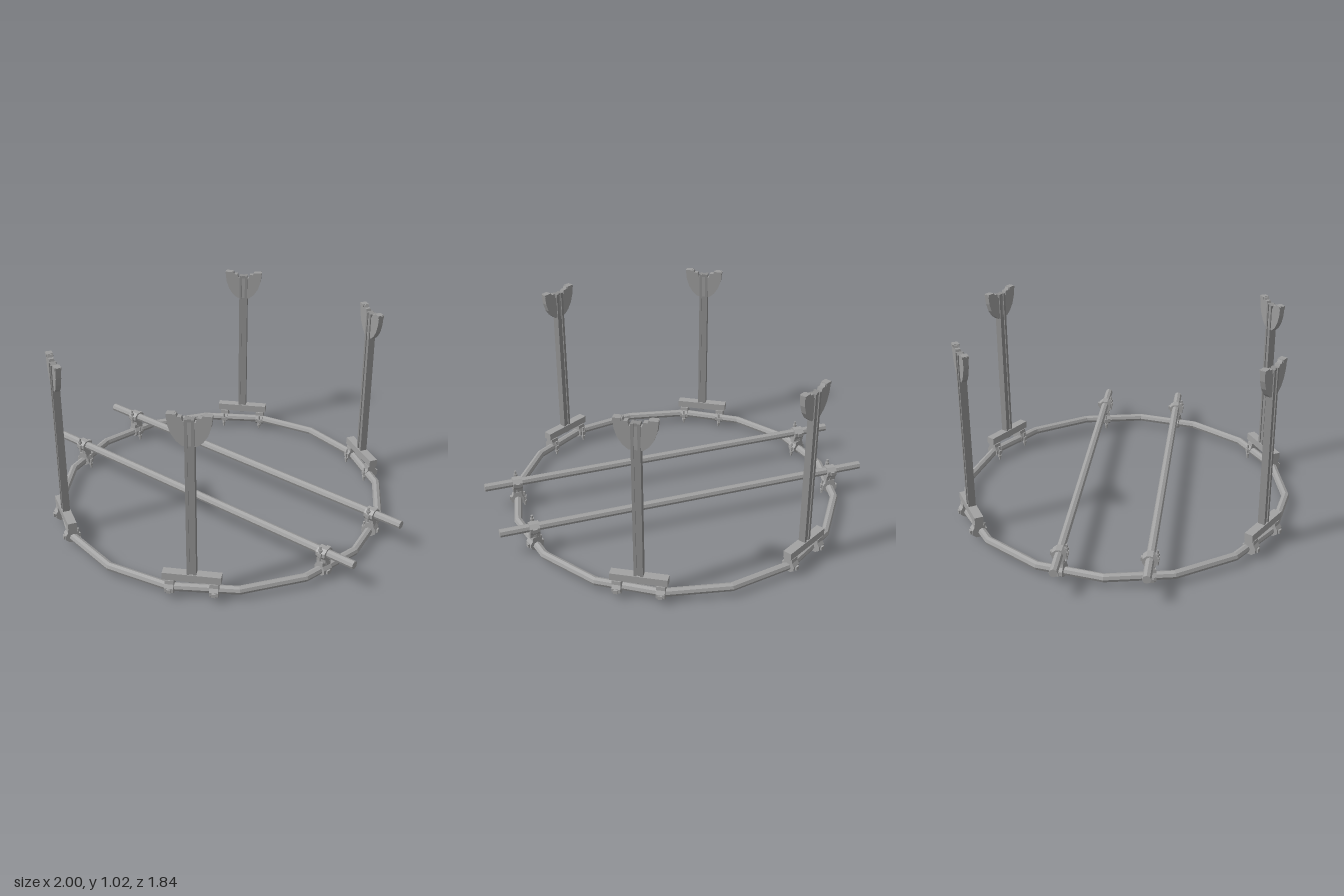
import * as THREE from 'three';

const grey = (color) => new THREE.MeshStandardMaterial({ color, flatShading: true });
const tubeGrey = grey(0xa2a2a2), postGrey = grey(0x8e8e8e), headGrey = grey(0x9c9c9c), fittingGrey = grey(0xa2a2a2);
const rad = THREE.MathUtils.degToRad;
const RING_R = 0.88, RING_Y = 0.055, BEAM_Y = 0.155, TUBE = 0.022;

function add(parent, name, material, geometry, x = 0, y = 0, z = 0) {
  const mesh = new THREE.Mesh(geometry, material);
  mesh.name = name;
  mesh.position.set(x, y, z);
  parent.add(mesh);
  return mesh;
}

const box = (w, h, d) => new THREE.BoxGeometry(w, h, d);
const rod = (r, h, n = 6) => new THREE.CylinderGeometry(r, r, h, n);

// Extrude a symmetric outline given by its right half, centred on its depth
function plate(half, depth) {
  const outline = [...half, ...half.slice().reverse().map(([x, y]) => [-x, y])];
  const shape = new THREE.Shape(outline.map(([x, y]) => new THREE.Vector2(x, y)));
  return new THREE.ExtrudeGeometry(shape, { depth, bevelEnabled: false }).translate(0, 0, -depth / 2);
}

// Group on the ring: local z points outward, local x runs along the ring
function ringGroup(name, degrees, radius) {
  const g = new THREE.Group(), a = rad(degrees);
  g.name = name;
  g.position.set(Math.cos(a) * radius, 0, Math.sin(a) * radius);
  g.rotation.y = Math.PI / 2 - a;
  return g;
}

// Pipe clamp around a tube along local x, with its neck upward, ears and bolt
function pipeClamp(length) {
  const g = new THREE.Group();
  g.name = 'pipeClamp';
  const half = [[0.015, -0.027], [0.036, -0.01], [0.036, 0.012], [0.024, 0.03], [0.022, 0.05]];
  add(g, 'clampBody', fittingGrey, plate(half, length).rotateY(Math.PI / 2));
  for (const s of [-1, 1]) add(g, 'clampEar', fittingGrey, box(0.022, 0.02, 0.014), 0, 0, s * 0.038);
  add(g, 'clampBolt', fittingGrey, rod(0.006, 0.085), 0, -0.007, -0.035);
  add(g, 'boltNut', fittingGrey, rod(0.011, 0.012), 0, -0.026, -0.035);
  return g;
}

// Fan-shaped head outline with two ears and a shallow notch (right half)
const headHalf = [[0.035, 0.862], [0.062, 0.885], [0.085, 0.92], [0.1, 0.965], [0.106, 1.02],
  [0.06, 1.02], [0.055, 1.008], [0.036, 1.008], [0.03, 0.985]];

// Upright post with bracket, head and two clamps on the ring
function post(degrees) {
  const g = ringGroup('post', degrees, 0.873);
  add(g, 'postCore', postGrey, box(0.024, 0.9, 0.026), 0, 0.55, 0);
  for (const s of [-1, 1]) {
    add(g, 'postRail', postGrey, box(0.014, 0.86, 0.038), s * 0.016, 0.57, 0);
    const clamp = pipeClamp(0.045);
    clamp.position.set(s * 0.11, RING_Y, 0);
    g.add(clamp);
    add(g, 'headPad', headGrey, box(0.036, 0.014, 0.034), s * 0.085, 1.015, 0);
  }
  add(g, 'bracket', fittingGrey, box(0.29, 0.04, 0.046), 0, 0.13, 0);
  add(g, 'headPlate', headGrey, plate(headHalf, 0.027));
  return g;
}

// Swivel coupler joining the ring below to a beam above
function coupler(x, z) {
  const degrees = THREE.MathUtils.radToDeg(Math.atan2(z, x));
  const g = ringGroup('coupler', degrees, Math.hypot(x, z));
  const lower = pipeClamp(0.052), upper = pipeClamp(0.052);
  lower.position.y = RING_Y;
  upper.position.y = BEAM_Y;
  upper.rotation.set(Math.PI, rad(-30) - g.rotation.y, 0, 'YXZ');
  g.add(lower, upper);
  add(g, 'swivelPin', fittingGrey, rod(0.026, 0.03, 8), 0, 0.105, 0);
  return g;
}

export function createModel() {
  const model = new THREE.Group();
  model.name = 'ringFrame';

  // Sixteen-sided tubular ring
  const ring = new THREE.TorusGeometry(RING_R, TUBE, 8, 16).rotateZ(rad(7.5)).rotateX(Math.PI / 2);
  add(model, 'ring', tubeGrey, ring, 0, RING_Y, 0);

  for (const a of [90, -90, -30, 150]) model.add(post(a));

  // Two parallel beams with a coupler at each crossing of the ring
  const dx = Math.cos(rad(30)), dz = Math.sin(rad(30));
  for (const s of [-1, 1]) {
    const cx = s * 0.11, cz = -s * 0.19;
    const beam = add(model, 'beam', tubeGrey, rod(TUBE, 2.03, 8).rotateZ(Math.PI / 2), cx, BEAM_Y, cz);
    beam.rotation.y = rad(-30);
    for (const t of [-0.837, 0.837]) model.add(coupler(cx + dx * t, cz + dz * t));
  }
  return model;
}
